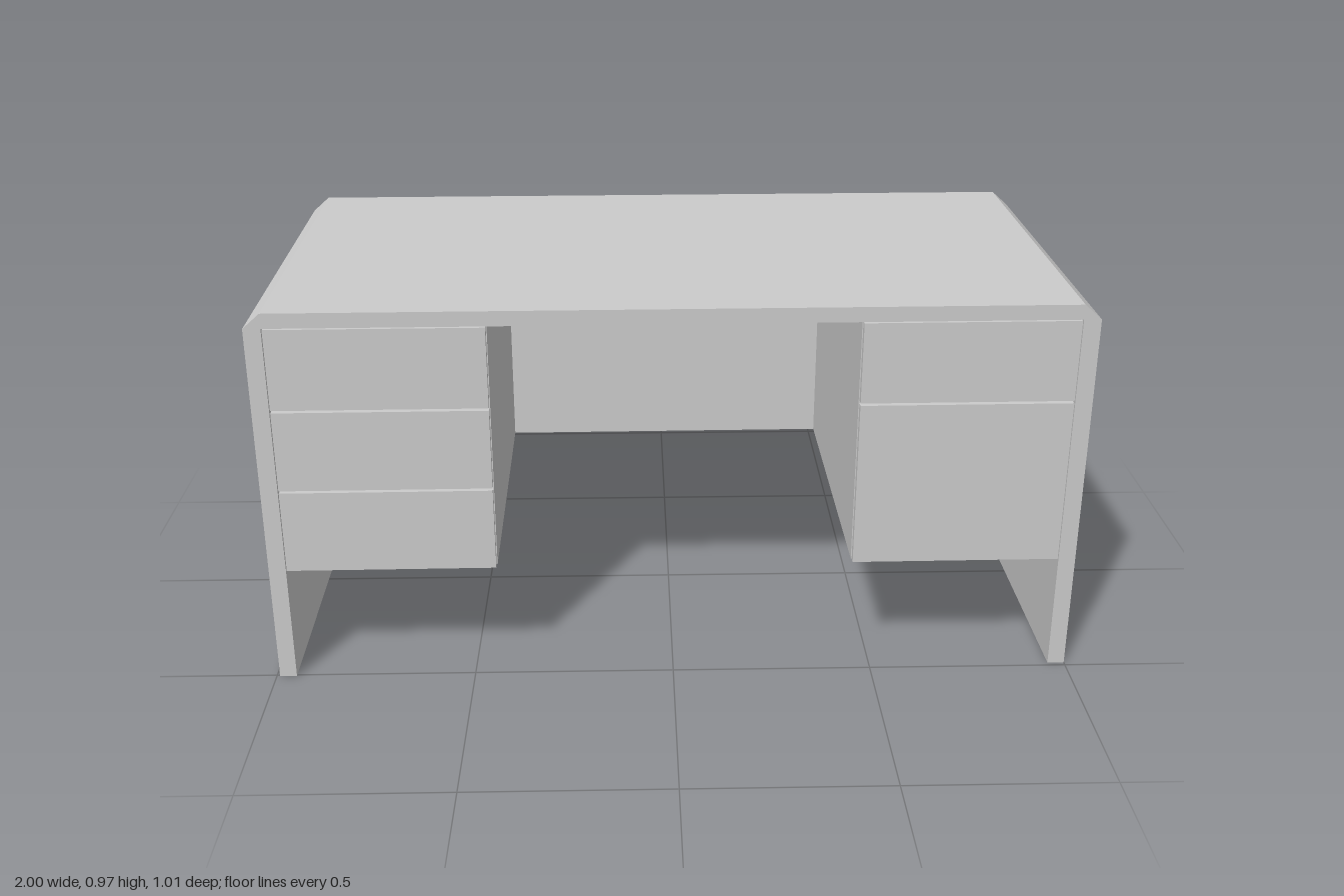
import * as THREE from 'three';

const material = new THREE.MeshStandardMaterial({ color: 0xcccccc, flatShading: true });

// Box given by its limits on each axis
function addBox(parent, name, [x0, x1], [y0, y1], [z0, z1]) {
  const mesh = new THREE.Mesh(new THREE.BoxGeometry(x1 - x0, y1 - y0, z1 - z0), material);
  mesh.position.set((x0 + x1) / 2, (y0 + y1) / 2, (z0 + z1) / 2);
  mesh.name = name;
  parent.add(mesh);
}

const W = 0.996, D = 0.4965;         // half width and half depth
const TOP = 0.967, UNDER = 0.93;     // desktop surfaces
const THICK = 0.042;                 // side panel thickness
const BOTTOM = 0.3;                  // lower edge of pedestals and back panel
const BACK = -0.348;                 // rear face of the recessed back panel
const BOARD = 0.018, GAP = 0.006;

// Drawer pedestal: open-bottomed carcass with separate fronts
function addPedestal(parent, name, x0, x1, splits) {
  const pedestal = new THREE.Group();
  pedestal.name = name;
  const front = D - BOARD - 0.001;
  const depth = [BACK + BOARD, front];
  addBox(pedestal, 'pedestalSide', [x0, x0 + BOARD], [BOTTOM, UNDER], depth);
  addBox(pedestal, 'pedestalSide', [x1 - BOARD, x1], [BOTTOM, UNDER], depth);
  addBox(pedestal, 'pedestalFloor', [x0 + BOARD, x1 - BOARD], [BOTTOM + 0.05, BOTTOM + 0.068], depth);
  addBox(pedestal, 'frontRail', [x0 + BOARD, x1 - BOARD], [BOTTOM, UNDER], [front - BOARD, front]);

  const levels = [BOTTOM, ...splits, UNDER];
  for (let i = 0; i < levels.length - 1; i++) {
    const low = levels[i] + (i ? GAP / 2 : 0);
    const high = levels[i + 1] - GAP / 2;
    addBox(pedestal, 'drawerFront', [x0 + 0.002, x1 - 0.002], [low, high], [front + 0.001, D]);
  }
  parent.add(pedestal);
}

export function createModel() {
  const model = new THREE.Group();
  model.name = 'desk';

  // Desktop with bevelled ends
  const profile = new THREE.Shape([
    new THREE.Vector2(-W, UNDER), new THREE.Vector2(W, UNDER),
    new THREE.Vector2(W - THICK, TOP), new THREE.Vector2(-W + THICK, TOP),
  ]);
  const topGeometry = new THREE.ExtrudeGeometry(profile, { depth: 2 * D, bevelEnabled: false });
  topGeometry.translate(0, 0, -D);
  const desktop = new THREE.Mesh(topGeometry, material);
  desktop.name = 'desktop';
  model.add(desktop);

  // Full-depth side panels
  addBox(model, 'rightSidePanel', [-W, -W + THICK], [0, UNDER], [-D, D]);
  addBox(model, 'leftSidePanel', [W - THICK, W], [0, UNDER], [-D, D]);

  // Recessed back panel
  addBox(model, 'backPanel', [-W + THICK, W - THICK], [BOTTOM, UNDER], [BACK, BACK + BOARD]);

  // Three drawers on one side, a drawer over a deep drawer on the other
  addPedestal(model, 'rightPedestal', -W + THICK, -0.438, [0.513, 0.722]);
  addPedestal(model, 'leftPedestal', 0.438, W - THICK, [0.722]);

  // The desk stands turned very slightly
  model.rotation.y = 0.0085;
  return model;
}
